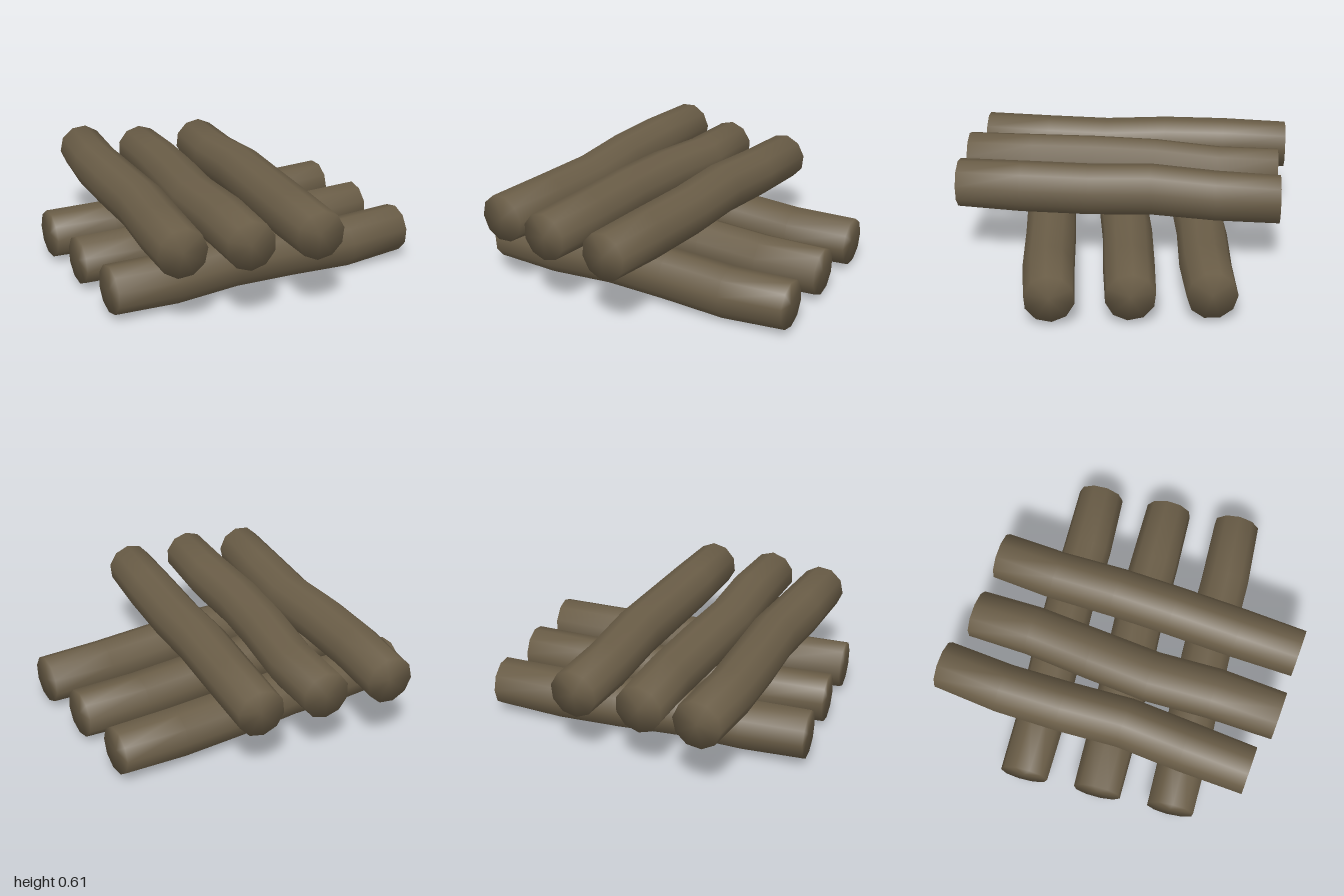
import * as THREE from 'three';

const SIDES = 10;
const bark = new THREE.MeshStandardMaterial({ color: 0x6a5d47 });
bark.name = 'brown bark';

// A slightly crooked log: rings along a list of [x, y, z] centres, closed by smooth-shaded caps.
function makeLog(name, centres, radii, turn) {
  const pts = centres.map((c) => new THREE.Vector3(...c));
  const last = pts.length - 1;
  const axis = pts[last].clone().sub(pts[0]).setY(0).normalize();
  const up = new THREE.Vector3(0, 1, 0);
  const side = up.clone().cross(axis);
  const pos = [];
  const index = [];

  pts.forEach((c, i) => {
    for (let j = 0; j < SIDES; j++) {
      const a = turn + (j / SIDES) * Math.PI * 2;
      const p = c.clone()
        .addScaledVector(side, Math.cos(a) * radii[i])
        .addScaledVector(up, Math.sin(a) * radii[i]);
      pos.push(p.x, p.y, p.z);
    }
  });
  pos.push(...pts[0].toArray(), ...pts[last].toArray());
  const startCap = pts.length * SIDES;

  for (let j = 0; j < SIDES; j++) {
    const k = (j + 1) % SIDES;
    for (let i = 0; i < last; i++) {
      const a = i * SIDES, b = a + SIDES;
      index.push(a + j, a + k, b + j, a + k, b + k, b + j);
    }
    index.push(startCap, k, j);
    index.push(startCap + 1, last * SIDES + j, last * SIDES + k);
  }

  const geo = new THREE.BufferGeometry();
  geo.setAttribute('position', new THREE.Float32BufferAttribute(pos, 3));
  geo.setIndex(index);
  geo.computeVertexNormals();
  const mesh = new THREE.Mesh(geo, bark);
  mesh.name = name;
  return mesh;
}

export function createModel() {
  const group = new THREE.Group();
  group.name = 'logPile';
  const radii = [0.138, 0.143, 0.146, 0.146, 0.146, 0.138];

  // Lower layer, running along x
  const xs = [-0.92, -0.55, -0.18, 0.18, 0.55, 0.92];
  const ys = [0.168, 0.158, 0.18, 0.168, 0.152, 0.167];
  const lower = {
    lowerLogBack: [-0.407, -0.402, -0.41, -0.418, -0.405, -0.407],
    lowerLogMiddle: [0.028, 0.03, 0.025, 0.015, 0.022, 0.028],
    lowerLogFront: [0.46, 0.464, 0.458, 0.458, 0.467, 0.46],
  };
  Object.entries(lower).forEach(([name, zs], n) => {
    group.add(makeLog(name, xs.map((x, i) => [x, ys[i], zs[i]]), radii, n * 0.2));
  });

  // Upper layer, running from back to front at a slant
  group.add(makeLog('upperLogRight', [
    [-0.468, 0.46, -0.985], [-0.525, 0.462, -0.61], [-0.55, 0.465, -0.25],
    [-0.56, 0.458, 0.11], [-0.615, 0.46, 0.47], [-0.67, 0.475, 0.845],
  ], radii, 0.1));
  group.add(makeLog('upperLogMiddle', [
    [-0.113, 0.43, -0.89], [-0.14, 0.435, -0.54], [-0.205, 0.458, -0.17],
    [-0.26, 0.463, 0.19], [-0.278, 0.474, 0.56], [-0.325, 0.483, 0.943],
  ], radii, 0.3));
  group.add(makeLog('upperLogLeft', [
    [0.278, 0.427, -0.85], [0.23, 0.435, -0.49], [0.195, 0.467, -0.12],
    [0.163, 0.46, 0.23], [0.115, 0.465, 0.62], [0.07, 0.476, 0.98],
  ], radii, 0.2));
  return group;
}
